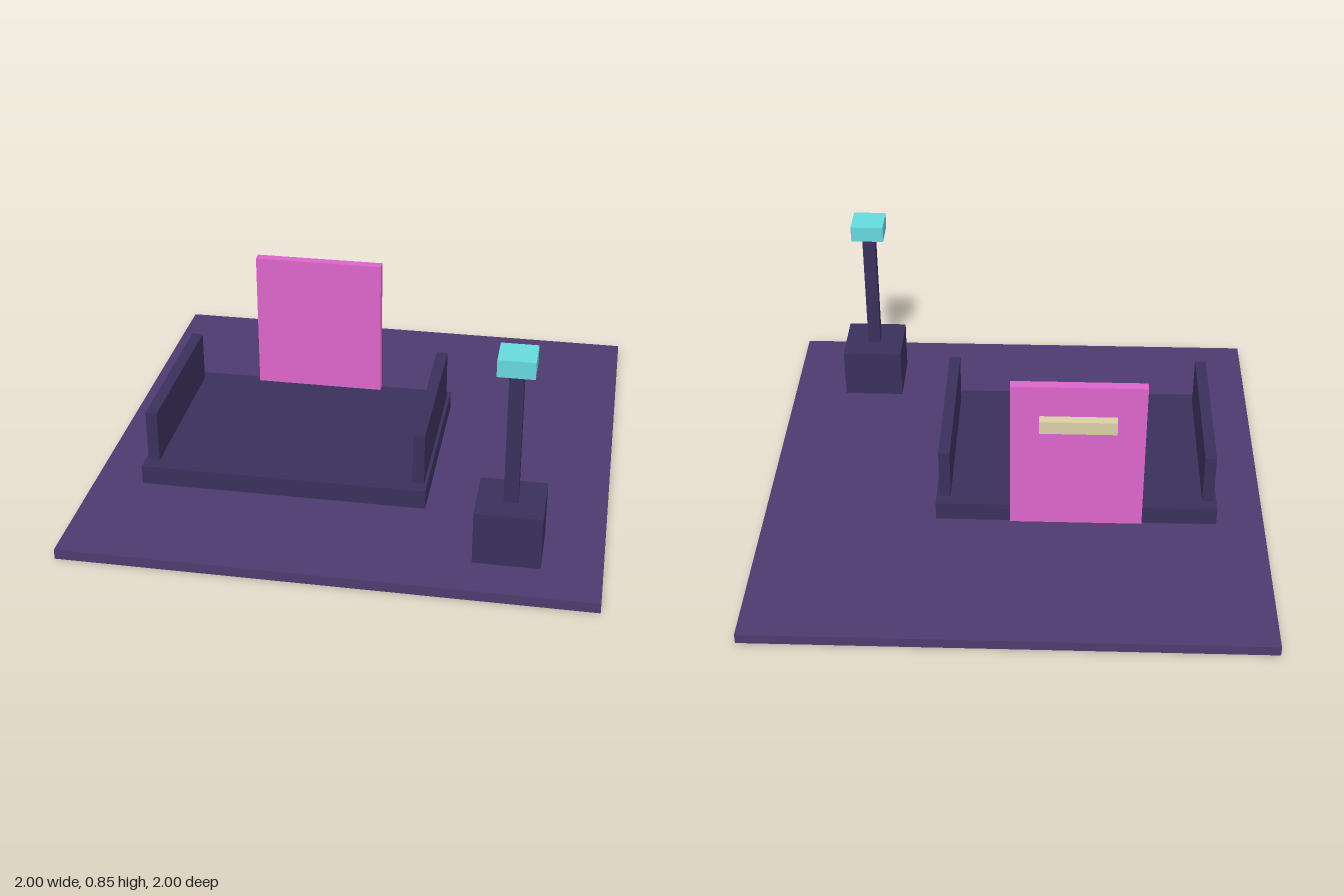
import * as THREE from 'three';

export function createModel() {
  const model = new THREE.Group();
  const paint = (color) => new THREE.MeshStandardMaterial({ color });
  const purple = paint(0x4c3a6e);
  const navy = paint(0x3a305c);
  const pink = paint(0xdd66cc);
  const cyan = paint(0x66d9dd);
  const cream = paint(0xdccfa6);

  // Box given by its extents along each axis
  function box(name, material, [x0, x1], [y0, y1], [z0, z1], parent = model) {
    const mesh = new THREE.Mesh(new THREE.BoxGeometry(x1 - x0, y1 - y0, z1 - z0), material);
    mesh.position.set((x0 + x1) / 2, (y0 + y1) / 2, (z0 + z1) / 2);
    mesh.name = name;
    parent.add(mesh);
    return mesh;
  }

  // Ground slab and raised platform
  box('groundSlab', purple, [-1, 1], [0, 0.04], [-1, 1]);
  box('platform', navy, [-0.81, 0.31], [0.04, 0.117], [-0.3, 0.5]);

  // Low walls, mirrored about the platform's middle
  for (const side of [-1, 1]) {
    const x = -0.25 + side * 0.525;
    box(side < 0 ? 'rightWall' : 'leftWall', navy, [x - 0.0225, x + 0.0225], [0.117, 0.327], [-0.25, 0.445]);
  }

  // Upright panel at the back with a bar behind it
  box('backPanel', pink, [-0.512, 0.012], [0.04, 0.69], [-0.307, -0.267]);
  box('panelBar', cream, [-0.4, -0.1], [0.502, 0.557], [-0.346, -0.307]);

  // Lamp post: square stages stacked around one axis
  const lamp = new THREE.Group();
  lamp.name = 'lampPost';
  lamp.position.set(0.65, 0, 0.7);
  model.add(lamp);
  const stages = [
    ['lampBase', navy, 0.125, 0.04, 0.25],
    ['lampPole', navy, 0.0265, 0.25, 0.78],
    ['lampHead', cyan, 0.0675, 0.78, 0.846],
  ];
  for (const [name, material, half, y0, y1] of stages) {
    box(name, material, [-half, half], [y0, y1], [-half, half], lamp);
  }

  return model;
}
